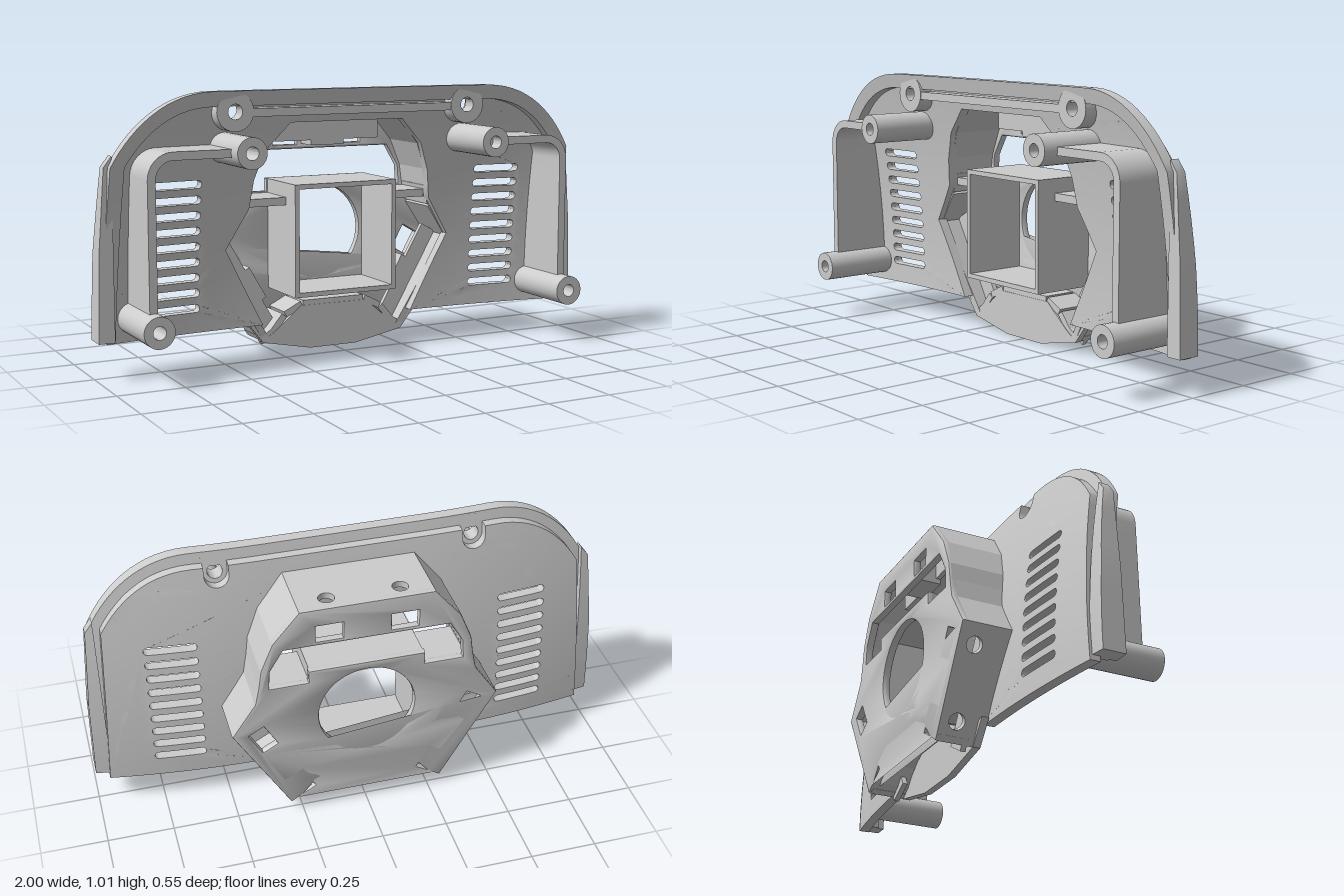
import * as THREE from 'three';
import { toCreasedNormals } from 'three/addons/utils/BufferGeometryUtils.js';

const material = new THREE.MeshStandardMaterial({ color: 0xcccccc, side: THREE.DoubleSide });
const CENTRE_Y = 0.44;

// Rear surface of the dished panel
const back = (x, y) =>
  -0.095 + 0.138 * (y - 0.14) ** 2 + 0.13 * Math.max(0, Math.abs(x) - 0.3) ** 2;
const over = (d) => (x, y) => back(x, y) + d;
const flat = (z) => () => z;

const poly = (pts) => new THREE.Shape(pts.map(([x, y]) => new THREE.Vector2(x, y)));
const mirrored = (pts) => pts.concat([...pts].reverse().map(([x, y]) => [-x, y]));
const circle = (x, y, r) => new THREE.Path().absarc(x, y, r, 0, Math.PI * 2, false);

function slot(x0, x1, y, r) {
  const p = new THREE.Path();
  p.absarc(x1, y, r, -Math.PI / 2, Math.PI / 2, false);
  p.absarc(x0, y, r, Math.PI / 2, Math.PI * 1.5, false);
  return p;
}

// Halve long edges (measured in x and y) so that a shape can follow a curved surface
function subdivide(a, b, c, max, out) {
  const len = (p, q) => Math.hypot(p.x - q.x, p.y - q.y);
  const ab = len(a, b), bc = len(b, c), ca = len(c, a);
  const longest = Math.max(ab, bc, ca);
  if (longest <= max) {
    out.push(a.clone(), b.clone(), c.clone());
    return;
  }
  if (bc === longest) [a, b, c] = [b, c, a];
  else if (ca === longest) [a, b, c] = [c, a, b];
  const m = a.clone().add(b).multiplyScalar(0.5);
  subdivide(a, m, c, max, out);
  subdivide(m, b, c, max, out);
}

// Solid filling a shape between two height functions
function solid(name, shape, z0, z1, max = 0.09) {
  const src = new THREE.ExtrudeGeometry(shape, { depth: 1, bevelEnabled: false, curveSegments: 14 });
  const geo = src.index ? src.toNonIndexed() : src;
  const p = geo.attributes.position;
  const v = (i) => new THREE.Vector3().fromBufferAttribute(p, i);
  const pts = [];
  for (let i = 0; i < p.count; i += 3) subdivide(v(i), v(i + 1), v(i + 2), max, pts);
  for (const q of pts) q.z = THREE.MathUtils.lerp(z0(q.x, q.y), z1(q.x, q.y), q.z);
  const result = new THREE.BufferGeometry().setFromPoints(pts);
  const mesh = new THREE.Mesh(toCreasedNormals(result, 0.6), material);
  mesh.name = name;
  return mesh;
}

// Rectangle in a lobe's own frame: t along its end face, r outward from the centre
function lobeRect(angle, t, r, w, h) {
  const c = Math.cos(angle), s = Math.sin(angle);
  return [[-1, -1], [1, -1], [1, 1], [-1, 1]].map(([i, j]) => {
    const u = t + (i * w) / 2, v = r + (j * h) / 2;
    return [u * c - v * s, CENTRE_Y + u * s + v * c];
  });
}

// Right half of the arched outline, from foot to crown
function archPoints(inset) {
  const curve = new THREE.CubicBezierCurve(
    new THREE.Vector2(0.955 - inset, 0.76), new THREE.Vector2(0.885 - inset, 0.89 - inset * 0.4),
    new THREE.Vector2(0.76 - inset * 0.5, 1.015 - inset), new THREE.Vector2(0.57, 1.015 - inset));
  return curve.getPoints(14).map((p) => [p.x, p.y]);
}

function buildPanel() {
  const g = new THREE.Group();
  g.name = 'panel';

  // Main dished sheet with notches at the top screws and an opening for the housing
  const arch = archPoints(0.04);
  const opening = [[0.32, 0.12], [0.475, 0.42], [0.385, 0.57], [0.37, 0.68], [0.33, 0.79], [0.235, 0.89]];
  const notch = [];
  for (let i = 0; i <= 10; i++) {
    const a = -Math.PI * (i / 10);
    notch.push([0.485 + 0.045 * Math.cos(a), 0.94 + 0.045 * Math.sin(a)]);
  }
  const edge = [[0.95, 0.12], ...arch, [0.53, 0.975], ...notch, [0.44, 0.975]];
  const sheet = poly([...mirrored(edge), ...opening.map(([x, y]) => [-x, y]), ...[...opening].reverse()]);
  for (const s of [-1, 1]) {
    for (let i = 0; i < 9; i++) {
      const ends = [s * 0.595, s * 0.76].sort((a, b) => a - b);
      sheet.holes.push(slot(ends[0], ends[1], 0.212 + i * 0.058, 0.015));
    }
  }
  g.add(solid('ventedSheet', sheet, back, over(0.04), 0.07));

  // Stepped rim around the sides and top
  const outer = mirrored([[0.985, 0.14], ...archPoints(0)]);
  const inner = mirrored([[0.93, 0.14], ...archPoints(0.055)]);
  g.add(solid('rim', poly([...outer, ...inner.reverse()]), over(0.035), over(0.08), 0.07));

  for (const s of [-1, 1]) {
    // Side wing
    g.add(solid('sideWing',
      poly([[0.94, 0.14], [1, 0.14], [0.993, 0.45], [0.97, 0.76], [0.94, 0.8]].map(([x, y]) => [s * x, y])),
      over(0.01), flat(0.065)));

    // Tall inner wall bending round the upper corner
    const wall = [[0.5, 0.82], [0.77, 0.82]], wallIn = [[0.5, 0.79], [0.77, 0.79]];
    for (let i = 1; i <= 8; i++) {
      const a = (Math.PI / 2) * (1 - i / 8), c = Math.cos(a), n = Math.sin(a);
      wall.push([0.77 + 0.095 * c, 0.725 + 0.095 * n]);
      wallIn.push([0.77 + 0.065 * c, 0.725 + 0.065 * n]);
    }
    wall.push([0.865, 0.24]);
    wallIn.push([0.835, 0.24]);
    g.add(solid('innerWall', poly([...wall, ...wallIn.reverse()].map(([x, y]) => [s * x, y])),
      over(0.02), flat(0.218)));

    // Screw posts and top screw rings
    for (const [x, y] of [[0.5, 0.807], [0.85, 0.207]]) {
      const post = new THREE.Shape().absarc(s * x, y, 0.057, 0, Math.PI * 2, false);
      post.holes.push(circle(s * x, y, 0.024));
      g.add(solid('screwPost', post, over(0.02), flat(0.275)));
    }
    const ring = new THREE.Shape().absarc(s * 0.485, 0.94, 0.072, 0, Math.PI * 2, false);
    ring.holes.push(circle(s * 0.485, 0.94, 0.028));
    g.add(solid('screwRing', ring, over(0.035), flat(0.09)));
  }

  // Rail joining the screw rings
  g.add(solid('topRail', poly([[-0.43, 0.92], [0.43, 0.92], [0.43, 0.95], [-0.43, 0.95]]),
    over(0.02), flat(0.088)));
  return g;
}

function buildHousing() {
  const g = new THREE.Group();
  g.name = 'housing';
  const outline = mirrored([[0.25, 0.92], [0.35, 0.8], [0.395, 0.69], [0.405, 0.62], [0.42, 0.545],
    [0.51, 0.41], [0.296, 0.04], [0.25, 0.07], [0.2, 0.13], [0.13, 0.165]]);

  // Three-lobed rear plate with round window, upper cutout and paired sockets
  const plate = poly(outline);
  plate.holes.push(circle(0, CENTRE_Y, 0.183));
  plate.holes.push(poly(mirrored([[0.22, 0.655], [0.22, 0.605], [0.365, 0.605], [0.36, 0.68], [0.31, 0.765]])));
  const lobes = [0, Math.PI * 2 / 3, -Math.PI * 2 / 3];
  for (const a of lobes) {
    for (const t of [-0.14, 0.14]) plate.holes.push(poly(lobeRect(a, t, 0.375, 0.1, 0.065)));
  }
  const plateGeo = new THREE.ExtrudeGeometry(plate, {
    depth: 0.016, bevelThickness: 0.008, bevelSize: 0.008, bevelOffset: -0.008, bevelSegments: 2, curveSegments: 32,
  });
  const rear = new THREE.Mesh(toCreasedNormals(plateGeo, 0.6), material);
  rear.position.z = -0.264;
  rear.name = 'rearPlate';
  g.add(rear);

  // Walls following the outline; the three lobe ends carry screw holes
  const wallFront = ([x, y]) => (y < 0.2 ? -0.102 : back(x, y) + 0.012);
  outline.forEach((p0, i) => {
    const p1 = outline[(i + 1) % outline.length];
    const len = Math.hypot(p1[0] - p0[0], p1[1] - p0[1]);
    const shape = poly([[0, -0.263], [len, -0.263], [len, wallFront(p1)], [0, wallFront(p0)]]);
    if (len > 0.4) {
      for (const t of [-0.136, 0.136]) shape.holes.push(circle(len / 2 + t, -0.207, 0.03));
    }
    const wall = new THREE.Mesh(
      new THREE.ExtrudeGeometry(shape, { depth: 0.025, bevelEnabled: false, curveSegments: 16 }), material);
    const dx = (p1[0] - p0[0]) / len, dy = (p1[1] - p0[1]) / len;
    wall.applyMatrix4(new THREE.Matrix4().makeBasis(
      new THREE.Vector3(dx, dy, 0), new THREE.Vector3(0, 0, 1), new THREE.Vector3(dy, -dx, 0)
    ).setPosition(p0[0], p0[1], 0));
    wall.name = 'housingWall';
    g.add(wall);
  });

  // Square sleeve around the window
  const sleeve = poly([[-0.215, 0.225], [0.215, 0.225], [0.215, 0.655], [-0.215, 0.655]]);
  sleeve.holes.push(poly([[-0.197, 0.243], [0.197, 0.243], [0.197, 0.637], [-0.197, 0.637]]));
  g.add(solid('squareSleeve', sleeve, flat(-0.25), flat(0.012), 1));

  // Shelves beside the sleeve
  for (const s of [-1, 1]) {
    const shelf = new THREE.Mesh(new THREE.BoxGeometry(0.18, 0.03, 0.18), material);
    shelf.position.set(s * 0.295, 0.585, -0.16);
    shelf.name = 'shelf';
    g.add(shelf);
  }

  // Socket cover inside each lobe, leaving a narrow slit below it
  for (const a of lobes) {
    g.add(solid('socketCover', poly(lobeRect(a, 0, 0.41, 0.44, 0.09)), flat(-0.17), flat(-0.15), 1));
    g.add(solid('socketDivider', poly(lobeRect(a, 0, 0.395, 0.14, 0.1)), flat(-0.25), flat(-0.15), 1));
  }

  // Bottom flange closing the space under the arch
  const foot = [[0.3, 0.04], [0.1, 0]];
  const throat = [[0.32, 0.12], [0.28, 0.06], [0.25, 0.08], [0.14, 0.17]];
  g.add(solid('bottomFlange',
    poly([[0.37, 0.13], ...mirrored(foot), [-0.37, 0.13], ...mirrored(throat.map(([x, y]) => [-x, y]))]),
    flat(-0.128), flat(-0.1), 1));
  return g;
}

export function createModel() {
  const model = new THREE.Group();
  model.name = 'ventedCoverWithHousing';
  model.add(buildPanel(), buildHousing());
  return model;
}
